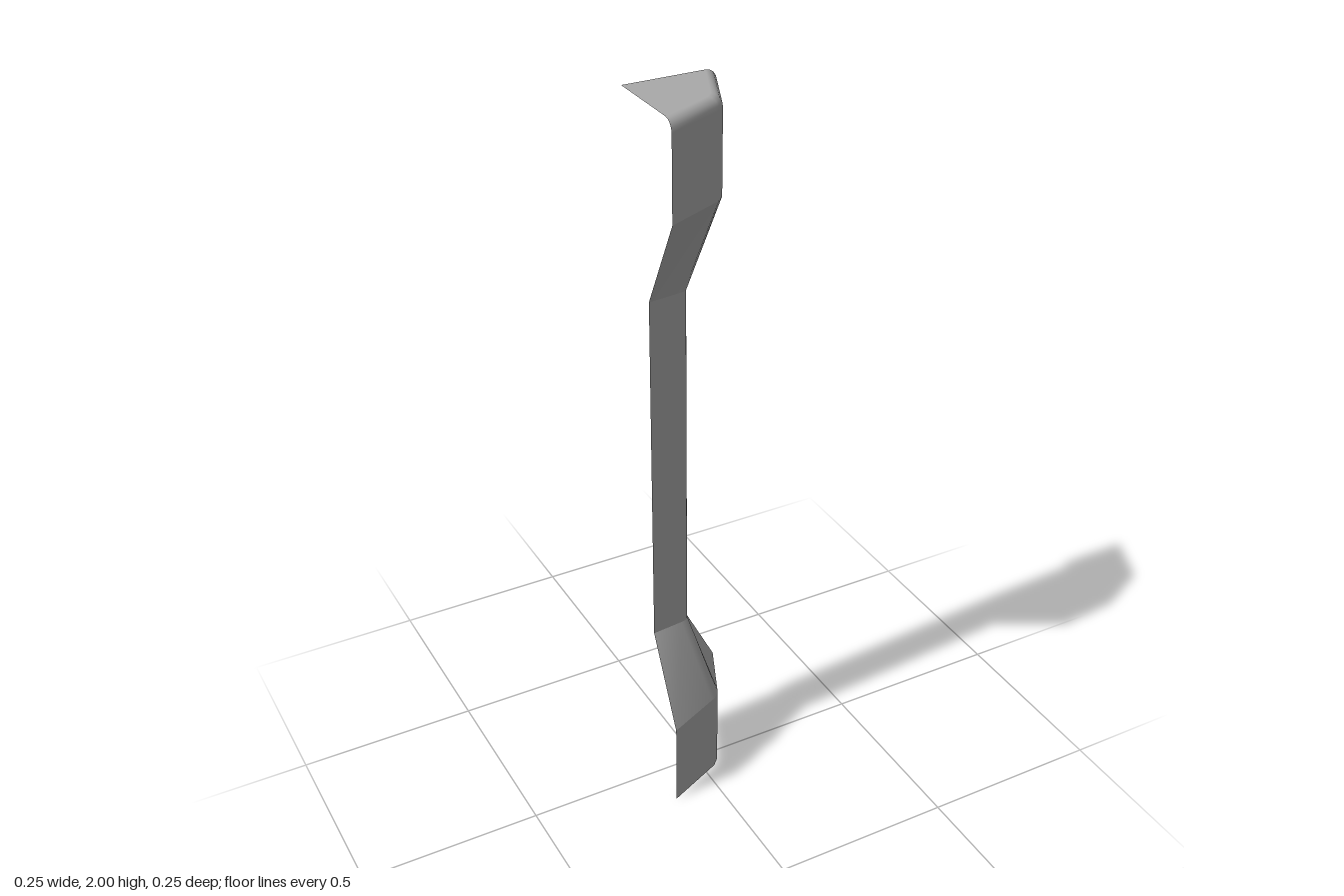
import * as THREE from 'three';

// Half-open column shell: cross-sections are measured from the inner back corner.
const AXIS = -0.125;
const WIDE = [[0.25, 0], [0.184, 0.148], [0.179, 0.159], [0.169, 0.169], [0.159, 0.179], [0.148, 0.184], [0, 0.25]];
const SLIM = [[0.125, 0], [0.116, 0.088], [0.114, 0.1], [0.109, 0.109], [0.1, 0.114], [0.088, 0.116], [0, 0.125]];

// Skin a stack of rings; each ring is { y, section, scale }. Optionally close the top.
function loft(name, rings, material, closed = false) {
  const pos = [], idx = [], n = WIDE.length;
  for (const { y, section, scale = 1 } of rings)
    for (const [x, z] of section) pos.push(AXIS + x * scale, y, AXIS + z * scale);
  for (let r = 0; r < rings.length - 1; r++)
    for (let i = 0; i < n - 1; i++) {
      const a = r * n + i, b = a + 1, d = a + n, c = b + n;
      idx.push(b, a, d, b, d, c);
    }
  if (closed) {
    const centre = pos.length / 3, last = (rings.length - 1) * n;
    pos.push(AXIS, rings[rings.length - 1].y, AXIS);
    for (let i = 0; i < n - 1; i++) idx.push(centre, last + i + 1, last + i);
  }
  const g = new THREE.BufferGeometry();
  g.setAttribute('position', new THREE.Float32BufferAttribute(pos, 3));
  g.setIndex(idx);
  g.computeVertexNormals();
  const mesh = new THREE.Mesh(g, material);
  mesh.name = name;
  return mesh;
}

export function createModel() {
  const group = new THREE.Group();
  group.name = 'column';
  const grey = new THREE.MeshStandardMaterial({ color: 0xaaaaaa, side: THREE.DoubleSide });
  grey.name = 'plain grey';

  // Straight and tapered bands, kept separate so their joints stay crisp
  const bands = [
    ['base', 0, WIDE, 0.25, WIDE],
    ['lowerTaper', 0.25, WIDE, 0.5, SLIM],
    ['shaft', 0.5, SLIM, 1.5, SLIM],
    ['upperTaper', 1.5, SLIM, 1.75, WIDE],
  ];
  for (const [name, y0, s0, y1, s1] of bands)
    group.add(loft(name, [{ y: y0, section: s0 }, { y: y1, section: s1 }], grey));

  // Head block with a rounded upper rim and closed top
  const radius = 0.03, steps = 4;
  const rings = [{ y: 1.75, section: WIDE }];
  for (let i = 0; i <= steps; i++) {
    const a = (i / steps) * Math.PI / 2;
    rings.push({
      y: 2 - radius + radius * Math.sin(a),
      section: WIDE,
      scale: 1 - (radius / 0.25) * (1 - Math.cos(a)),
    });
  }
  group.add(loft('head', rings, grey, true));
  return group;
}
